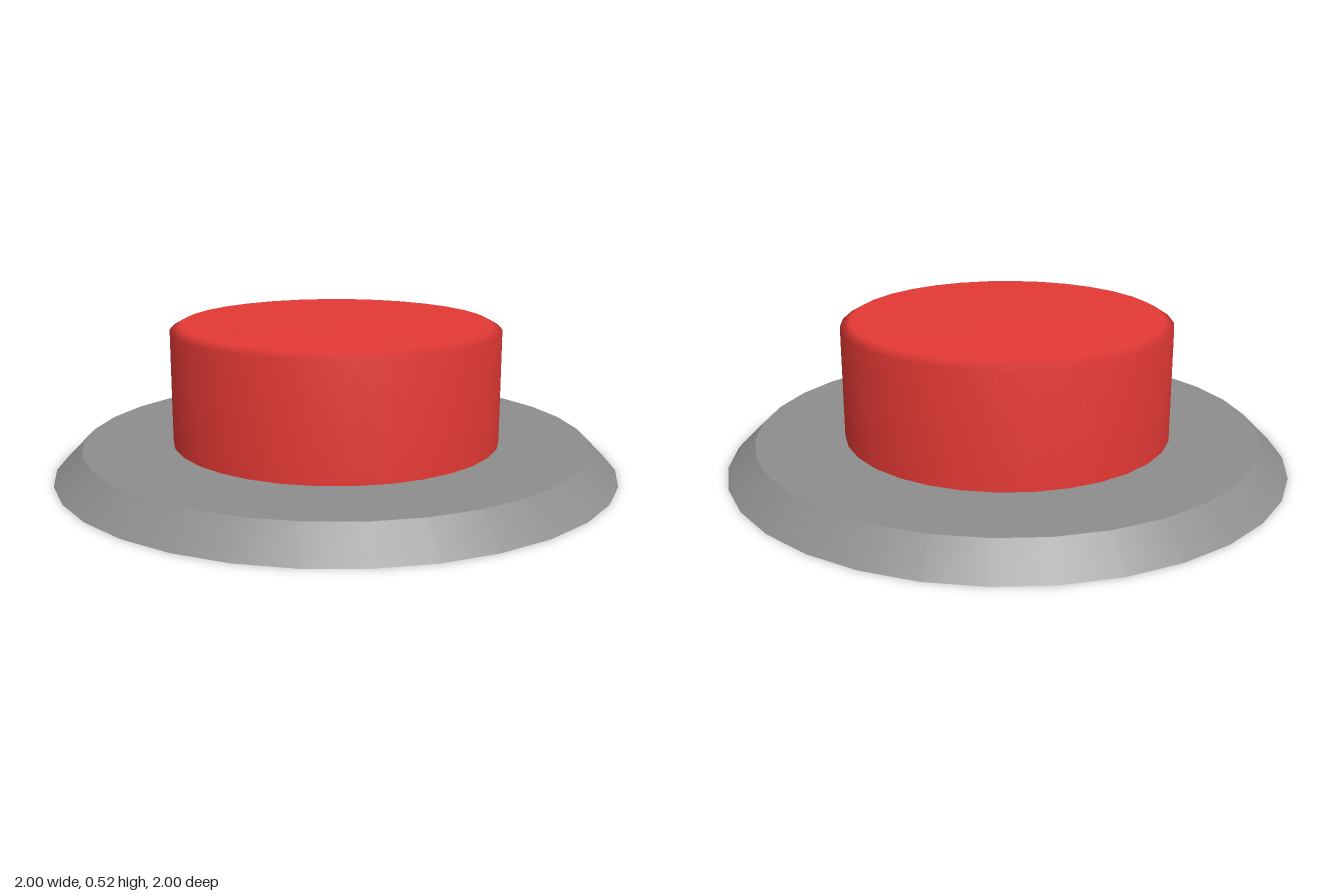
import * as THREE from 'three';

const SIDES = 32;

export function createModel() {
  const model = new THREE.Group();

  // Sloped base plate: crisp rims, smooth around the side
  const base = new THREE.Mesh(
    new THREE.CylinderGeometry(0.9, 1, 0.1, SIDES),
    new THREE.MeshStandardMaterial({ color: 0x8e8e8e })
  );
  base.name = 'basePlate';
  base.position.y = 0.05;
  model.add(base);

  // Push button: smooth-shaded cap with a small bevel at the top edge
  const profile = [[0.585, 0.1], [0.585, 0.5], [0.55, 0.52], [0, 0.52]]
    .map(([r, y]) => new THREE.Vector2(r, y));
  const button = new THREE.Mesh(
    new THREE.LatheGeometry(profile, SIDES),
    new THREE.MeshStandardMaterial({ color: 0xe53935 })
  );
  button.name = 'pushButton';
  model.add(button);

  return model;
}
